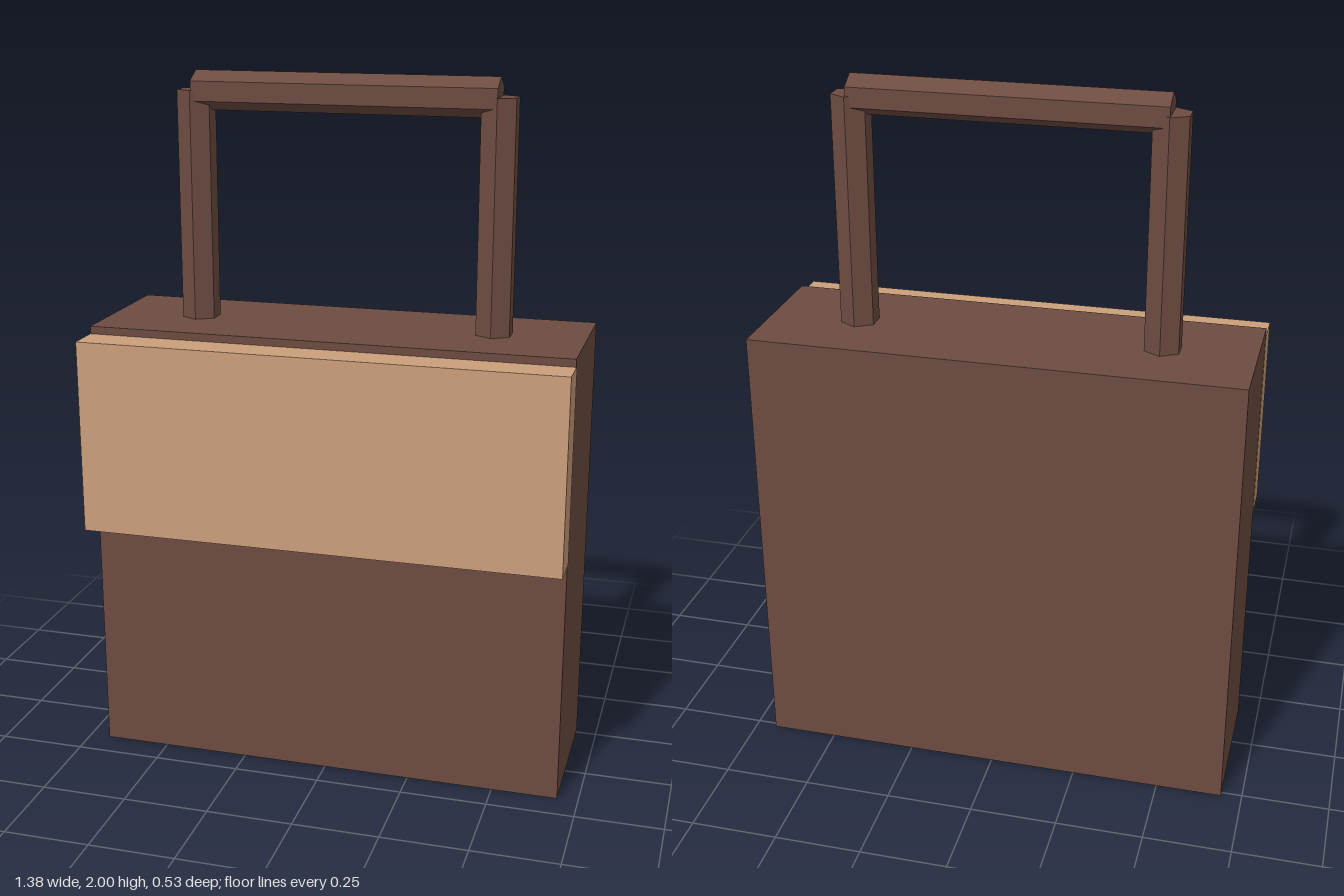
import * as THREE from 'three';

export function createModel() {
  const group = new THREE.Group();
  const brown = new THREE.MeshStandardMaterial({ name: 'dark brown leather', color: 0x6d4c41 });
  const tan = new THREE.MeshStandardMaterial({ name: 'tan leather', color: 0xcb9f7b });

  const add = (name, geometry, material, x, y, z) => {
    const mesh = new THREE.Mesh(geometry, material);
    mesh.name = name;
    mesh.position.set(x, y, z);
    group.add(mesh);
    return mesh;
  };

  // Six-sided bar with crisp faces
  const hexBar = (length) => new THREE.CylinderGeometry(0.055, 0.055, length, 6).toNonIndexed();
  const flat = (geometry) => {
    geometry.computeVertexNormals();
    return geometry;
  };

  // Bag body and front flap (a hair wider than the body)
  add('body', new THREE.BoxGeometry(1.38, 1.297, 0.43), brown, 0, 0.6485, -0.05);
  add('frontFlap', new THREE.BoxGeometry(1.382, 0.56, 0.11), tan, 0, 0.995, 0.21);

  // Handle: two posts and a crossbar turned so that an edge points up
  const handleZ = -0.05;
  for (const [name, side] of [['leftHandlePost', 1], ['rightHandlePost', -1]]) {
    add(name, flat(hexBar(0.66)), brown, side * 0.432, 1.617, handleZ);
  }
  const bar = hexBar(0.864).rotateY(Math.PI / 2).rotateZ(Math.PI / 2);
  add('handleBar', flat(bar), brown, 0, 1.945, handleZ);

  return group;
}
